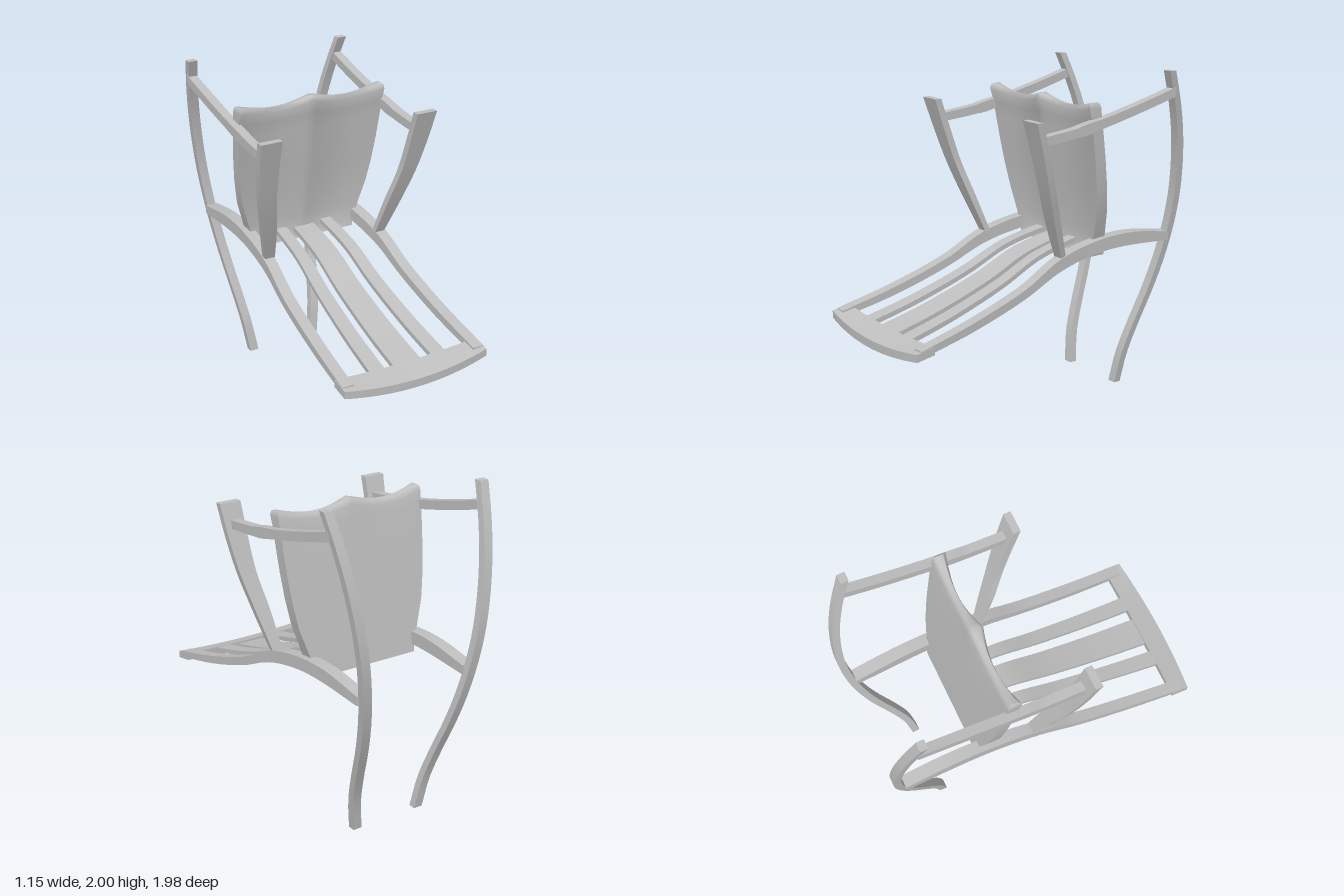
import * as THREE from 'three';
import { toCreasedNormals } from 'three/addons/utils/BufferGeometryUtils.js';

const V = (x, y, z) => new THREE.Vector3(x, y, z);

// Skin a row of equal, even-sized loops and close both ends; faces always point outward.
function loft(loops, crease = 0.6) {
  const n = loops[0].length, last = loops.length - 1, tris = [];
  const quad = (a, b, c, d) => tris.push([a, b, c], [a, c, d]);
  for (let r = 0; r < last; r++)
    for (let i = 0; i < n; i++) {
      const j = (i + 1) % n;
      quad(loops[r][i], loops[r][j], loops[r + 1][j], loops[r + 1][i]);
    }
  for (let i = 0; i < n / 2 - 1; i++) {
    const a = i, b = i + 1, c = n - 2 - i, d = n - 1 - i;
    quad(loops[0][d], loops[0][c], loops[0][b], loops[0][a]);
    quad(loops[last][a], loops[last][b], loops[last][c], loops[last][d]);
  }
  const volume = tris.reduce((s, [a, b, c]) => s + a.dot(b.clone().cross(c)), 0);
  const pos = [];
  for (const [a, b, c] of tris)
    for (const p of volume < 0 ? [a, c, b] : [a, b, c]) pos.push(p.x, p.y, p.z);
  const g = new THREE.BufferGeometry();
  g.setAttribute('position', new THREE.Float32BufferAttribute(pos, 3));
  return toCreasedNormals(g, crease);
}

// Curved bar through rows of [x, y, z, width, depth]; depth is measured along dir.
function bar(rows, dir, side = 1, steps = 28) {
  const path = new THREE.CatmullRomCurve3(rows.map(r => V(r[0] * side, r[1], r[2])));
  const size = new THREE.CatmullRomCurve3(rows.map(r => V(r[3], r[4], 0)));
  const loops = [];
  for (let k = 0; k <= steps; k++) {
    const c = path.getPoint(k / steps), s = size.getPoint(k / steps);
    loops.push([[-1, -1], [1, -1], [1, 1], [-1, 1]].map(([a, b]) =>
      c.clone().addScaledVector(V(1, 0, 0), a * s.x / 2).addScaledVector(dir, b * s.y / 2)));
  }
  return loft(loops);
}

export function createModel() {
  const group = new THREE.Group();
  const grey = new THREE.MeshStandardMaterial({ color: 0xbfbfbf });
  grey.name = 'plain grey';
  const add = (name, geometry) => {
    const m = new THREE.Mesh(geometry, grey);
    m.name = name;
    group.add(m);
  };
  const UP = V(0, 1, 0), BACK = V(0, 0, 1);

  // Long bowed uprights leaning outward
  const upright = [[0, -0.672], [0.2, -0.703], [0.4, -0.77], [0.6, -0.848], [0.8, -0.91], [1.0, -0.95],
    [1.2, -0.967], [1.4, -0.957], [1.6, -0.925], [1.8, -0.87], [2, -0.795]]
    .map(([y, z]) => [0.222 + 0.147 * y, y, z, 0.057, 0.046]);

  // S-curved seat side rails
  const rail = [[0.365, 0.955, -0.925, 0.08, 0.055], [0.37, 0.987, -0.6, 0.078, 0.08],
    [0.377, 0.975, -0.34, 0.075, 0.078], [0.39, 0.915, -0.07, 0.07, 0.075], [0.405, 0.795, 0.19, 0.07, 0.055],
    [0.42, 0.675, 0.56, 0.07, 0.05], [0.435, 0.59, 0.92, 0.07, 0.04]];

  // Flared arm posts
  const post = [[0.382, 0.95, -0.097, 0.065, 0.036], [0.43, 1.2, 0.0, 0.095, 0.045],
    [0.472, 1.4, 0.073, 0.105, 0.045], [0.495, 1.6, 0.137, 0.122, 0.045], [0.508, 1.8, 0.2, 0.135, 0.044]];

  // Gently sagging arms
  const arm = [[0.498, 1.68, 0.155, 0.056, 0.05], [0.498, 1.705, -0.1, 0.056, 0.055],
    [0.498, 1.75, -0.34, 0.056, 0.055], [0.5, 1.81, -0.6, 0.056, 0.055], [0.504, 1.872, -0.835, 0.056, 0.055]];

  // Seat slats: shared profile of [y, z], tapering toward the back
  const slat = [[0.98, -0.42], [0.965, -0.32], [0.905, -0.07], [0.79, 0.19], [0.665, 0.56], [0.585, 0.87]];
  const slatRows = (x0, x1, w0, w1, drop) => slat.map(([y, z]) => {
    const t = (z + 0.2) / 1.04;
    return [x0 + (x1 - x0) * t, y - drop, z, w0 + (w1 - w0) * t, 0.03];
  });

  for (const [label, side] of [['left', 1], ['right', -1]]) {
    add(label + 'Upright', bar(upright, BACK, side));
    add(label + 'SeatRail', bar(rail, UP, side));
    add(label + 'ArmPost', bar(post, BACK, side));
    add(label + 'Arm', bar(arm, UP, side));
    add(label + 'SeatSlat', bar(slatRows(0.163, 0.203, 0.075, 0.095, 0), UP, side));
  }
  add('middleSeatSlat', bar(slatRows(0, 0, 0.145, 0.18, 0.012), UP));

  // Bowed cross rail at the front of the seat
  const cross = [];
  for (let k = 0; k <= 20; k++) {
    const u = k / 10 - 1, s = u * u, x = 0.472 * u;
    cross.push([V(x, 0.565 + 0.035 * s, 0.985 - 0.035 * s), V(x, 0.605 + 0.015 * s, 0.848 - 0.01 * s),
      V(x, 0.545 + 0.03 * s, 0.848 - 0.01 * s), V(x, 0.515 + 0.04 * s, 0.985 - 0.035 * s)]);
  }
  add('frontCrossRail', loft(cross));

  // Padded back panel: flat behind, two shallow hollows in front, scalloped top.
  // Rows are [y, half width, front z, back z, hollow depth, top scallop].
  const rows = [[0.9, 0.345, -0.35, -0.46, 0, 0], [0.94, 0.35, -0.358, -0.453, 0.008, 0],
    [1.05, 0.383, -0.348, -0.434, 0.015, 0], [1.2, 0.43, -0.33, -0.408, 0.02, 0],
    [1.35, 0.455, -0.305, -0.382, 0.022, 0], [1.5, 0.47, -0.28, -0.356, 0.024, 0],
    [1.65, 0.48, -0.255, -0.33, 0.028, 0.01], [1.75, 0.484, -0.238, -0.312, 0.034, 0.025],
    [1.825, 0.487, -0.215, -0.3, 0.04, 0.038], [1.848, 0.484, -0.22, -0.292, 0.04, 0.04],
    [1.858, 0.475, -0.236, -0.277, 0.025, 0.04]];
  const N = 32;
  add('backPanel', loft(rows.map(([y, w, zf, zb, hollow, scallop]) => {
    const front = [], back = [];
    for (let k = 0; k <= N; k++) {
      const u = 2 * k / N - 1, lobe = Math.abs(Math.sin(Math.PI * u));
      front.push(V(u * w, y - scallop * lobe, zf - hollow * lobe));
      back.unshift(V(u * w, y - scallop * lobe, zb));
    }
    return [...front, ...back];
  }), 0.75));

  return group;
}
